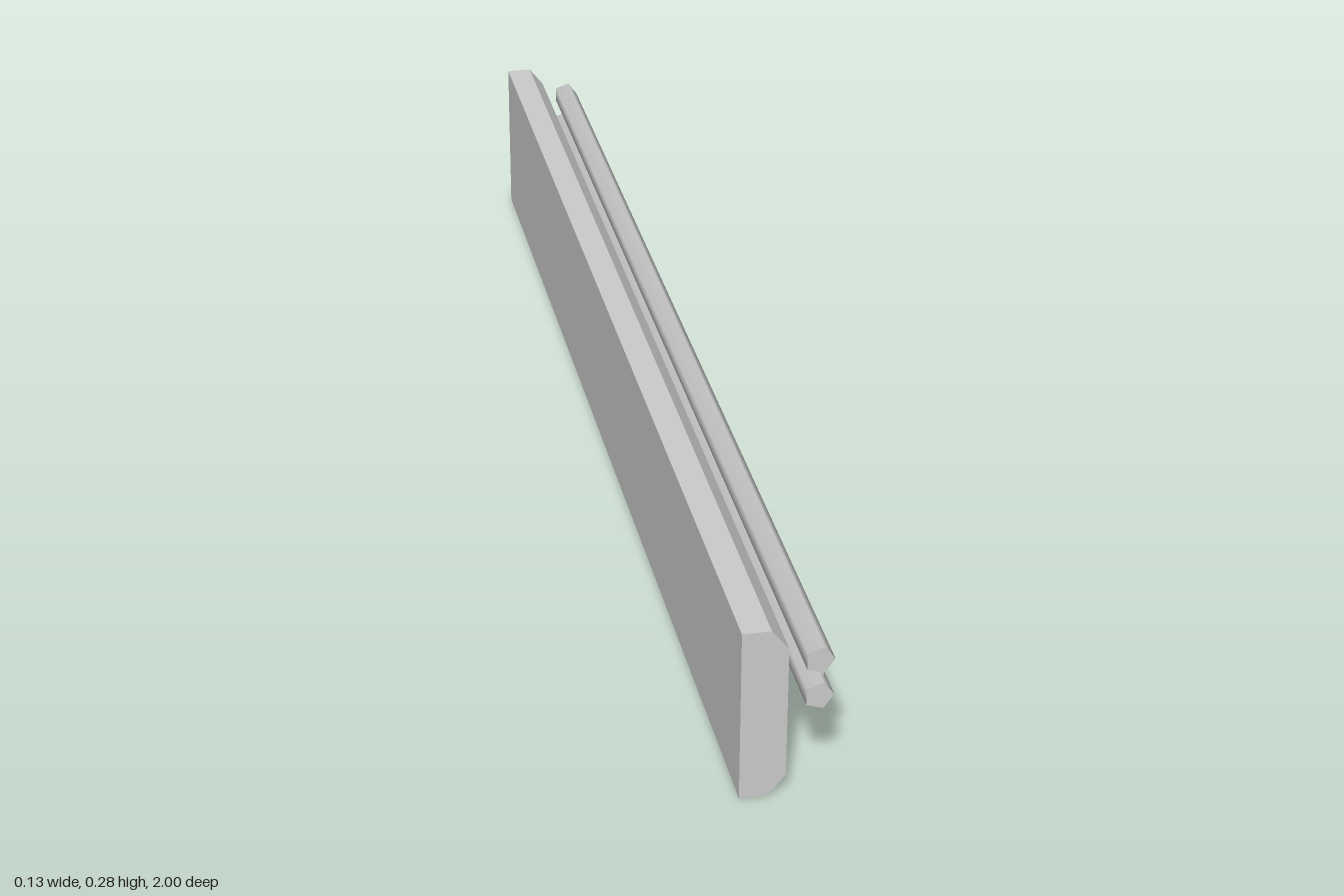
import * as THREE from 'three';

export function createModel() {
  const group = new THREE.Group();
  const material = new THREE.MeshStandardMaterial({ color: 0xcccccc });
  const flat = new THREE.MeshStandardMaterial({ color: 0xcccccc, flatShading: true });

  const add = (name, geometry, mat, x, y, z, parent = group) => {
    const mesh = new THREE.Mesh(geometry, mat);
    mesh.name = name;
    mesh.position.set(x, y, z);
    parent.add(mesh);
    return mesh;
  };

  // Long board with two chamfered edges on the rail side
  const profile = new THREE.Shape([
    [-0.067, 0], [-0.025, 0], [0, 0.032], [0, 0.243], [-0.025, 0.275], [-0.067, 0.275],
  ].map(([x, y]) => new THREE.Vector2(x, y)));
  add('board', new THREE.ExtrudeGeometry(profile, { depth: 2, bevelEnabled: false }), flat, 0, 0, -1);

  // Two parallel five-sided rails, one corner pointing outward (+x)
  const rail = new THREE.CylinderGeometry(0.022, 0.022, 2, 5);
  rail.rotateY(-Math.PI / 2).rotateX(Math.PI / 2);
  // Turn the section so that a corner lies on +x
  const p = rail.attributes.position;
  rail.rotateZ(-Math.atan2(p.getY(0), p.getX(0)));
  add('upperRail', rail, material, 0.044, 0.218, 0);
  add('lowerRail', rail, material, 0.044, 0.159, 0);

  // Clamps joining the rails: a plate with a small bolt head
  const plate = new THREE.BoxGeometry(0.009, 0.038, 0.04);
  const bolt = new THREE.CylinderGeometry(0.0065, 0.0065, 0.008, 8).rotateZ(-Math.PI / 2);
  for (const z of [0.947, 0.605, 0.238, -0.155, -0.548, -0.942]) {
    const clamp = new THREE.Group();
    clamp.name = 'clamp';
    clamp.position.set(0, 0.1885, z);
    add('clampPlate', plate, flat, 0.0545, 0, 0, clamp);
    add('bolt', bolt, material, 0.061, 0, 0, clamp);
    group.add(clamp);
  }
  return group;
}
